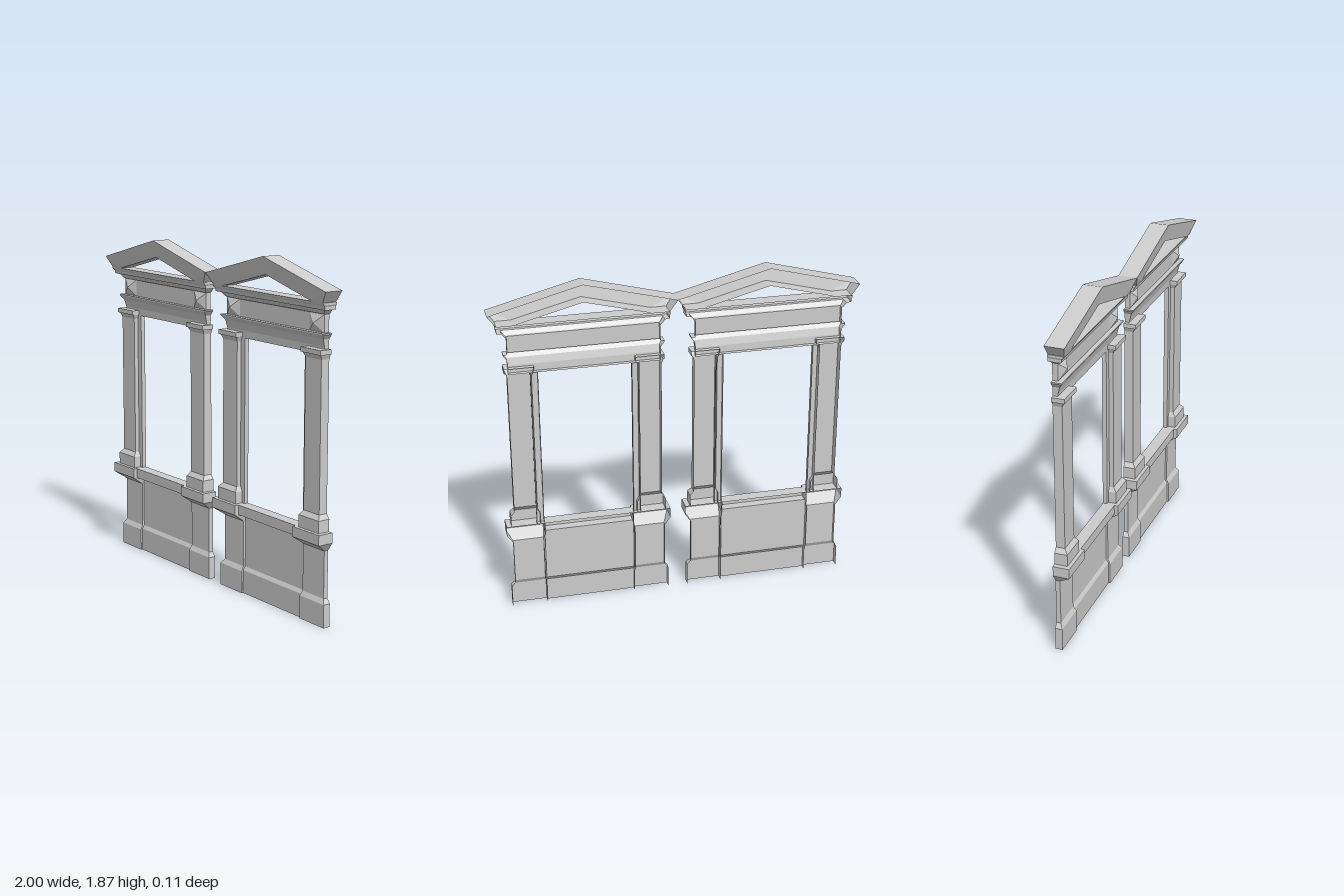
import * as THREE from 'three';

const BACK = -0.05;
const material = new THREE.MeshStandardMaterial({ color: 0xcccccc, flatShading: true, side: THREE.DoubleSide });

// Skin a grid of points: rows of equal length, each point [x, y, z]
function loft(name, rows) {
  const out = [];
  const same = (p, q) => p.every((v, k) => Math.abs(v - q[k]) < 1e-6);
  const tri = (p, q, r) => {
    if (!same(p, q) && !same(q, r) && !same(r, p)) out.push(...p, ...q, ...r);
  };
  for (let i = 0; i < rows.length - 1; i++) {
    for (let j = 0; j < rows[i].length - 1; j++) {
      const a = rows[i][j], b = rows[i][j + 1], c = rows[i + 1][j + 1], d = rows[i + 1][j];
      tri(a, b, c);
      tri(a, c, d);
    }
  }
  const geometry = new THREE.BufferGeometry();
  geometry.setAttribute('position', new THREE.Float32BufferAttribute(out, 3));
  geometry.computeVertexNormals();
  const mesh = new THREE.Mesh(geometry, material);
  mesh.name = name;
  return mesh;
}

// Moulded shell, open at the back; profile entries are [x0, x1, y, z]
const shell = (name, profile) => loft(name, profile.map(([x0, x1, y, z]) => [
  [x0, y, BACK], [x0, y, z], [x1, y, z], [x1, y, BACK]]));

// Shell centred on the bay; profile entries are [halfWidth, y, z]
const centred = (name, profile) => shell(name, profile.map(([w, y, z]) => [-w, w, y, z]));

// Right-hand shell plus its mirror image
function pair(name, profile) {
  return [shell(name + 'Left', profile),
    shell(name + 'Right', profile.map(([a, b, y, z]) => [-b, -a, y, z]))];
}

// Pointed block on the frieze
function pyramid(name, side) {
  const cx = side * 0.347, cy = 1.568, hw = 0.058, hh = 0.046, z = -0.02;
  const base = [[-1, -1], [1, -1], [1, 1], [-1, 1], [-1, -1]]
    .map(([u, v]) => [cx + u * hw, cy + v * hh, z]);
  return loft(name, [base, base.map(() => [cx, cy, 0.005])]);
}

// Gable band: outer and inner edge stations, from right to left
function pediment() {
  const half = [
    [[0.5, 1.74], [0.5, 1.74], 0.055],
    [[0.5, 1.74], [0.455, 1.68], 0.035],
    [[0.5, 1.74], [0.37, 1.68], 0.035]];
  const flip = half.map(([o, i, z]) => [[-o[0], o[1]], [-i[0], i[1]], z]).reverse();
  const stations = [...half, [[0, 1.87], [0, 1.775], 0.035], ...flip];
  return loft('pediment', stations.map(([o, i, z]) => [
    [...i, BACK], [...i, z], [...o, 0.055], [...o, BACK]]));
}

function windowBay() {
  const bay = new THREE.Group();
  bay.name = 'windowBay';

  // Pedestal: panel, projecting sill and end piers
  bay.add(centred('pedestalPanel', [
    [0.25, 0, -0.02], [0.25, 0.13, -0.02], [0.25, 0.15, -0.033], [0.25, 0.45, -0.033]]));
  bay.add(centred('sill', [
    [0.25, 0.45, -0.033], [0.25, 0.45, 0.018], [0.25, 0.505, 0.018], [0.25, 0.505, BACK]]));
  bay.add(...pair('pier', [
    [0.25, 0.445, 0, -0.01], [0.25, 0.445, 0.125, -0.01],
    [0.255, 0.425, 0.15, -0.025], [0.255, 0.425, 0.405, -0.025],
    [0.245, 0.457, 0.45, 0.04], [0.245, 0.457, 0.505, 0.04], [0.245, 0.457, 0.505, BACK]]));

  // Pilasters with base and capital
  bay.add(...pair('pilaster', [
    [0.27, 0.43, 0.505, 0.02], [0.27, 0.43, 0.57, 0.02],
    [0.285, 0.41, 0.595, 0.0], [0.285, 0.41, 1.39, 0.0],
    [0.275, 0.42, 1.415, 0.012], [0.27, 0.427, 1.415, 0.02],
    [0.27, 0.427, 1.44, 0.02], [0.27, 0.427, 1.44, BACK]]));

  // Recessed jambs beside the opening
  bay.add(...pair('jamb', [[0.25, 0.29, 0.505, -0.025], [0.25, 0.29, 1.41, -0.025]]));

  // Architrave, frieze and cornice
  bay.add(centred('entablature', [
    [0.405, 1.41, BACK], [0.405, 1.41, -0.025], [0.405, 1.45, -0.023], [0.408, 1.49, -0.012],
    [0.427, 1.515, 0.006], [0.427, 1.522, 0.006], [0.405, 1.522, -0.02],
    [0.405, 1.614, -0.02], [0.412, 1.618, -0.012], [0.43, 1.64, 0.003],
    [0.455, 1.642, 0.018], [0.455, 1.66, 0.022],
    [0.46, 1.668, 0.03], [0.46, 1.68, 0.035], [0.46, 1.68, BACK]]));
  bay.add(pyramid('friezeBlockLeft', 1), pyramid('friezeBlockRight', -1));

  bay.add(pediment());
  return bay;
}

export function createModel() {
  const model = new THREE.Group();
  model.name = 'pairedWindows';
  for (const x of [-0.5, 0.5]) {
    const bay = windowBay();
    bay.position.x = x;
    model.add(bay);
  }
  return model;
}
